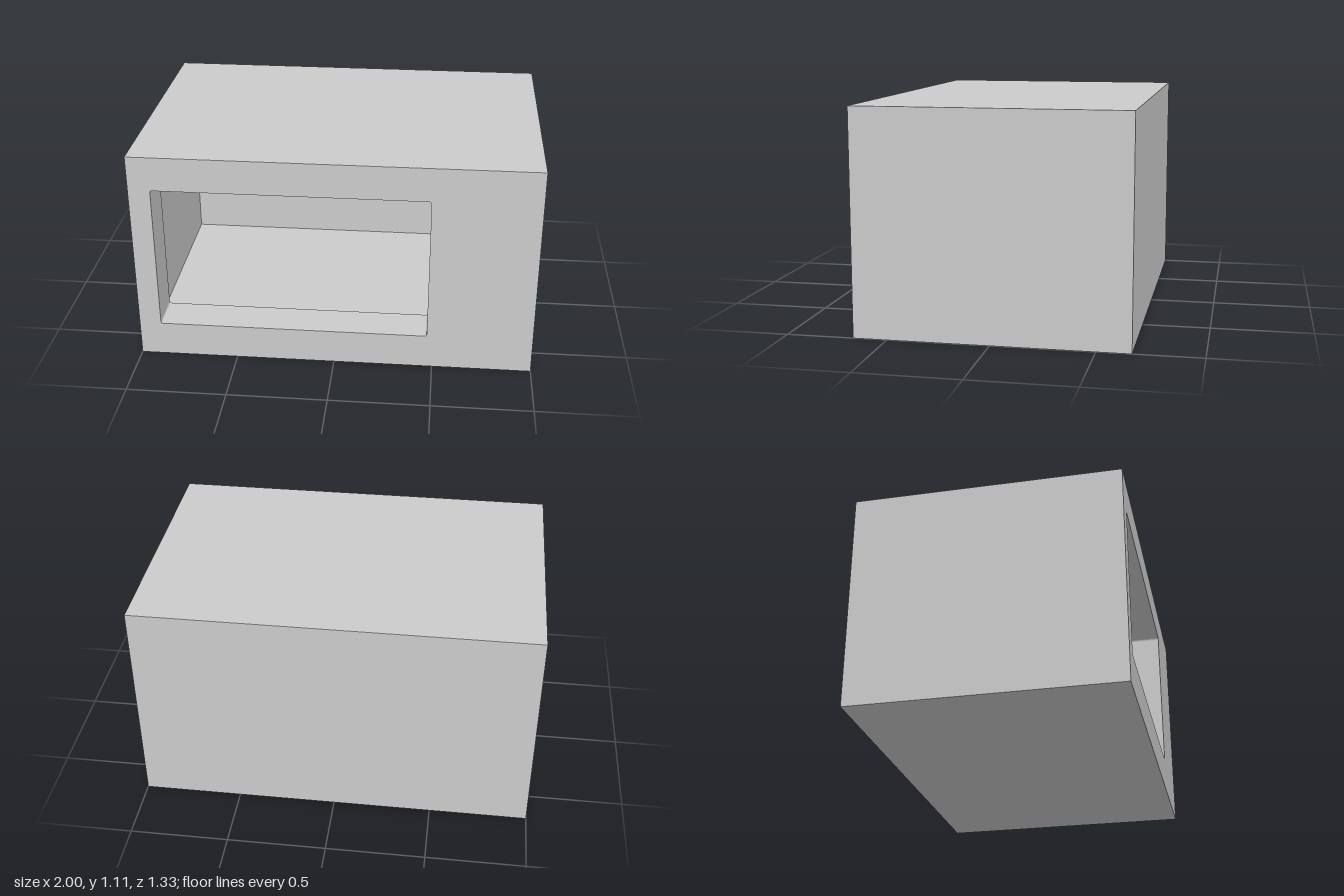
import * as THREE from 'three';

const W = 2, H = 1.11, D = 1.334;
const doorRight = 0.655, doorDepth = 0.2, backWall = 0.111;

// Rectangle outline with optional rounded corners
function rect(path, x0, y0, x1, y1, r = 0) {
  path.moveTo(x0 + r, y0);
  path.lineTo(x1 - r, y0);
  if (r) path.quadraticCurveTo(x1, y0, x1, y0 + r);
  path.lineTo(x1, y1 - r);
  if (r) path.quadraticCurveTo(x1, y1, x1 - r, y1);
  path.lineTo(x0 + r, y1);
  if (r) path.quadraticCurveTo(x0, y1, x0, y1 - r);
  path.lineTo(x0, y0 + r);
  if (r) path.quadraticCurveTo(x0, y0, x0 + r, y0);
  return path;
}

// Upright slab with a rectangular hole, spanning z0 to z1
function frame(outer, hole, z0, z1) {
  const shape = rect(new THREE.Shape(), ...outer);
  shape.holes.push(rect(new THREE.Path(), ...hole));
  return new THREE.ExtrudeGeometry(shape, { depth: z1 - z0, bevelEnabled: false, curveSegments: 4 })
    .translate(0, 0, z0);
}

function box(x0, x1, z0, z1) {
  return new THREE.BoxGeometry(x1 - x0, H, z1 - z0).translate((x0 + x1) / 2, H / 2, (z0 + z1) / 2);
}

export function createModel() {
  const group = new THREE.Group();
  const material = new THREE.MeshStandardMaterial({ color: 0xcccccc });
  const add = (name, geometry) => {
    const mesh = new THREE.Mesh(geometry, material);
    mesh.name = name;
    group.add(mesh);
  };

  const left = -W / 2, right = W / 2, back = -D / 2, front = D / 2;
  const doorBack = front - doorDepth, cavityBack = back + backWall;

  // Casing around the cooking cavity, closed by the back panel
  add('casing', frame([left, 0, right, H], [-0.934, 0.111, 0.52, H - 0.111], cavityBack, doorBack));
  add('backPanel', box(left, right, back, cavityBack));

  // Thick door frame with its window opening, flush with the control column
  add('doorFrame', frame([left, 0, doorRight, H], [-0.89, 0.18, 0.47, 0.935, 0.012], doorBack, front));
  add('controlColumn', box(doorRight, right, doorBack, front));

  return group;
}
